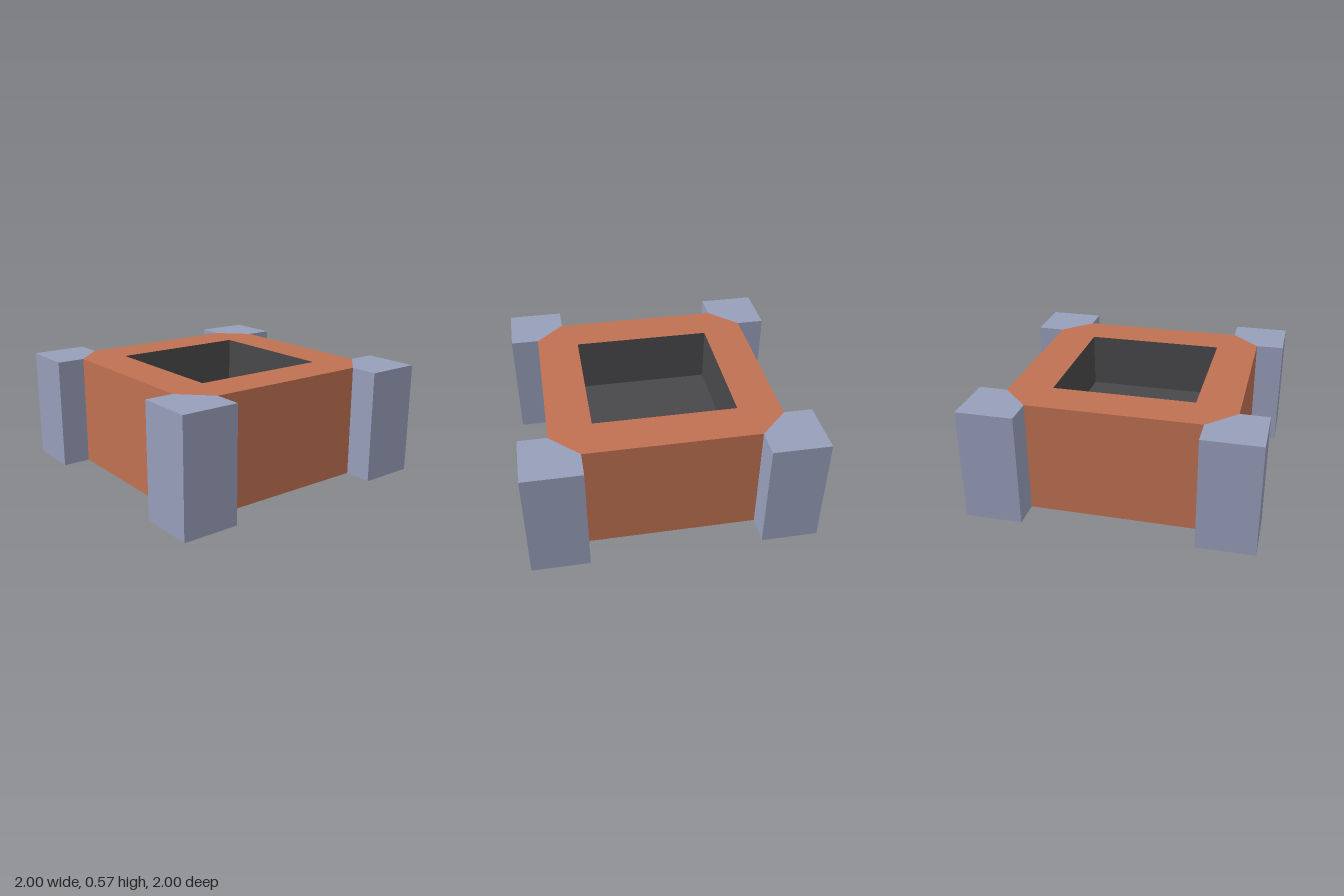
import * as THREE from 'three';

const U = 0.1422; // module unit: every size is a multiple of it
const HEIGHT = 4 * U;
const FLOOR = 2 * U;
const INNER = 2.5 * U;

const flat = (name, color) => {
  const m = new THREE.MeshStandardMaterial({ color });
  m.name = name;
  return m;
};
const outline = (pts) => new THREE.Shape(pts.map(([x, y]) => new THREE.Vector2(x * U, y * U)));

export function createModel() {
  const brick = flat('brick', 0xc07152);
  const slate = flat('slate', 0x979eba);
  const dark = flat('dark interior', 0x48484b);

  const model = new THREE.Group();
  model.name = 'fort';
  const add = (name, geometry, material, parent = model) => {
    const mesh = new THREE.Mesh(geometry, material);
    mesh.name = name;
    parent.add(mesh);
    return mesh;
  };

  // Square plan with its corners cut where the towers meet it
  const plan = () => outline([[4, -3], [4, 3], [3, 4], [-3, 4], [-4, 3], [-4, -3], [-3, -4], [3, -4]]);

  // Wall top with the courtyard opening
  const rim = plan();
  rim.holes.push(outline([[-2.5, -2.5], [-2.5, 2.5], [2.5, 2.5], [2.5, -2.5]]));
  add('wallTop', new THREE.ShapeGeometry(rim).rotateX(-Math.PI / 2).translate(0, HEIGHT, 0), brick);

  // Underside and sunken courtyard floor
  add('underside', new THREE.ShapeGeometry(plan()).rotateX(Math.PI / 2), slate);
  add('courtyardFloor', new THREE.PlaneGeometry(2 * INNER, 2 * INNER).rotateX(-Math.PI / 2).translate(0, FLOOR, 0), dark);

  // Each quarter: outer wall, courtyard wall and corner tower
  const outerWall = new THREE.PlaneGeometry(6 * U, HEIGHT).translate(0, HEIGHT / 2, 4 * U);
  const innerWall = new THREE.PlaneGeometry(2 * INNER, HEIGHT - FLOOR)
    .translate(0, (HEIGHT + FLOOR) / 2, -INNER);
  const tower = new THREE.ExtrudeGeometry(
    outline([[4, 3], [5, 3], [5, 5], [3, 5], [3, 4]]),
    { depth: HEIGHT, bevelEnabled: false },
  ).rotateX(-Math.PI / 2);

  for (let i = 0; i < 4; i++) {
    const quarter = new THREE.Group();
    quarter.name = `quarter${i + 1}`;
    quarter.rotation.y = (i * Math.PI) / 2;
    add('outerWall', outerWall, brick, quarter);
    add('courtyardWall', innerWall, dark, quarter);
    add('cornerTower', tower, slate, quarter);
    model.add(quarter);
  }

  // The whole plan stands turned on its site
  model.rotation.y = THREE.MathUtils.degToRad(38.8);
  const group = new THREE.Group();
  group.name = 'model';
  group.add(model);
  return group;
}
